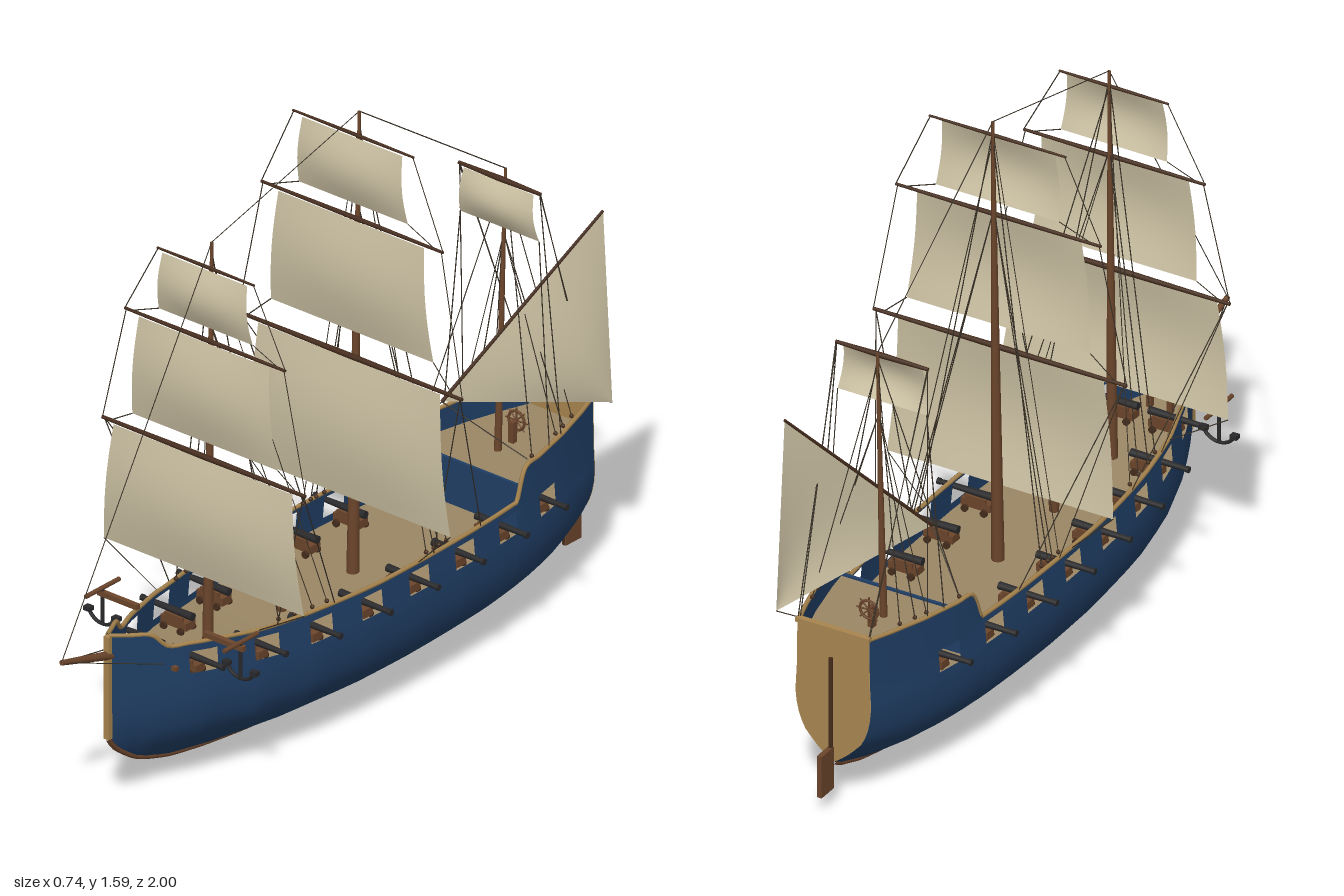
import * as THREE from 'three';

const mat = (name, color, side = THREE.FrontSide) => {
  const m = new THREE.MeshStandardMaterial({ color, side });
  m.name = name;
  return m;
};
const V = (x, y, z) => new THREE.Vector3(x, y, z);
const lerp = THREE.MathUtils.lerp;

// piecewise interpolation through [key, value] pairs with ascending keys
const table = (pts) => (k) => {
  if (k <= pts[0][0]) return pts[0][1];
  for (let i = 1; i < pts.length; i++) {
    const [a, va] = pts[i - 1], [b, vb] = pts[i];
    if (k <= b) return lerp(va, vb, (k - a) / (b - a));
  }
  return pts[pts.length - 1][1];
};

// hull lines along z: half width, keel height, rail height
const halfWidth = table([[-0.93, 0.11], [-0.86, 0.135], [-0.75, 0.168], [-0.6, 0.2], [-0.4, 0.219], [-0.2, 0.226],
  [0, 0.226], [0.15, 0.22], [0.3, 0.203], [0.45, 0.172], [0.6, 0.122], [0.7, 0.076], [0.77, 0.036], [0.82, 0.006]]);
const keelY = table([[-0.93, 0.12], [-0.9, 0.102], [-0.8, 0.066], [-0.7, 0.042], [-0.5, 0.018], [-0.2, 0.008], [0, 0.009],
  [0.3, 0.024], [0.5, 0.048], [0.6, 0.068], [0.7, 0.1], [0.75, 0.127], [0.8, 0.17], [0.82, 0.2]]);
const railY = table([[-0.93, 0.505], [-0.57, 0.482], [-0.53, 0.398], [0, 0.395], [0.4, 0.406], [0.68, 0.432], [0.72, 0.472], [0.82, 0.492]]);
const fullness = table([[0, 0], [0.04, 0.16], [0.12, 0.4], [0.25, 0.72], [0.37, 0.88], [0.5, 0.965], [0.63, 1], [0.8, 0.985], [1, 0.95]]);
const portY = (z) => 0.318 + Math.max(0, z - 0.3) * 0.08;
const deckY = (z) => portY(z) - 0.02;
const sideX = (z, y) => halfWidth(z) * fullness((y - keelY(z)) / (0.4 - keelY(z)));

const PORTS = [0.59, 0.41, 0.235, 0.055, -0.125, -0.305, -0.485, -0.665];
const COLS = [0.82, 0.8, 0.77, 0.72, 0.68, -0.53, -0.57, -0.75, -0.8, -0.86, -0.9, -0.93,
  ...PORTS.flatMap((p) => [p + 0.038, p, p - 0.038])].sort((a, b) => b - a);
const ROWS = [0, 0.04, 0.1, 0.18, 0.27, 0.37, 0.48, 0.6, 0.75, 0.9, 1];

// surface from a rule over a grid, with optional skipped cells
function grid(nu, nv, fn, skip = () => false) {
  const pos = [], idx = [];
  for (let i = 0; i <= nu; i++) for (let j = 0; j <= nv; j++) pos.push(...fn(i, j).toArray());
  for (let i = 0; i < nu; i++) for (let j = 0; j < nv; j++) {
    if (skip(i, j)) continue;
    const a = i * (nv + 1) + j, b = a + nv + 1;
    idx.push(a, b, a + 1, b, b + 1, a + 1);
  }
  const g = new THREE.BufferGeometry();
  g.setAttribute('position', new THREE.Float32BufferAttribute(pos, 3));
  g.setIndex(idx);
  g.computeVertexNormals();
  return g;
}

export function createModel() {
  const root = new THREE.Group();
  const D = THREE.DoubleSide;
  const navy = mat('navy hull paint', 0x203f66, D), tan = mat('tan trim', 0xa8854f, D);
  const planks = mat('deck planks', 0x9a8765, D), canvas = mat('sail canvas', 0xcdc2a4, D);
  const wood = mat('mast wood', 0x6b452b), dark = mat('dark spar wood', 0x452c1c);
  const rope = mat('rope', 0x3b3328), iron = mat('iron', 0x29292b);

  const add = (name, geo, m, parent = root) => {
    const mesh = new THREE.Mesh(geo, m);
    mesh.name = name;
    parent.add(mesh);
    return mesh;
  };
  const box = (name, w, h, d, x, y, z, m, parent) => {
    const b = add(name, new THREE.BoxGeometry(w, h, d), m, parent);
    b.position.set(x, y, z);
    return b;
  };
  // round bar between two points
  const bar = (name, a, b, r0, r1, m, parent, sides = 8) => {
    const c = add(name, new THREE.CylinderGeometry(r1, r0, a.distanceTo(b), sides), m, parent);
    c.position.copy(a).add(b).multiplyScalar(0.5);
    c.quaternion.setFromUnitVectors(V(0, 1, 0), b.clone().sub(a).normalize());
    return c;
  };
  const line = (a, b) => bar('rope', a, b, 0.0015, 0.0015, rope, root, 4);

  // hull sides with open gun ports
  const rowY = (z, j) => j < ROWS.length ? lerp(keelY(z), portY(z), ROWS[j])
    : j === ROWS.length ? Math.min(portY(z) + 0.06, railY(z) - 0.008) : railY(z);
  const isPort = (i, j) => j === ROWS.length - 1 && PORTS.some((p) => Math.abs((COLS[i] + COLS[i + 1]) / 2 - p) < 0.036);
  for (const s of [1, -1]) {
    add('hullSide', grid(COLS.length - 1, ROWS.length + 1, (i, j) => {
      const z = COLS[i], y = rowY(z, j);
      return V(s * sideX(z, y), y, z);
    }, isPort), navy);
    const rail = COLS.map((z) => V(s * (sideX(z, railY(z)) - 0.003), railY(z), z));
    add('capRail', new THREE.TubeGeometry(new THREE.CatmullRomCurve3(rail), 120, 0.006, 6), tan);
  }
  add('transom', grid(1, ROWS.length + 1, (i, j) => {
    const y = rowY(-0.93, j);
    return V((i ? -1 : 1) * sideX(-0.93, y), y, -0.932);
  }), tan);
  box('transomRail', 0.215, 0.012, 0.016, 0, 0.507, -0.93, tan);
  add('keel', new THREE.TubeGeometry(new THREE.CatmullRomCurve3(COLS.map((z) => V(0, keelY(z), z))), 80, 0.007, 6), wood);
  box('stemPost', 0.017, 0.29, 0.014, 0, 0.345, 0.821, tan);

  // decks and the bulkhead between them
  const deck = (name, zs, yAt) => add(name, grid(zs.length - 1, 1, (i, j) =>
    V((j ? 1 : -1) * (sideX(zs[i], yAt(zs[i])) - 0.001), yAt(zs[i]), zs[i])), planks);
  deck('mainDeck', COLS, deckY);
  deck('quarterDeck', COLS.filter((z) => z <= -0.57), () => 0.42);
  const bw = sideX(-0.57, 0.4) - 0.002;
  box('bulkhead', bw * 2, 0.128, 0.008, 0, 0.362, -0.567, navy);

  // rudder
  box('rudder', 0.014, 0.12, 0.06, 0, 0.11, -0.97, wood);
  bar('rudderPost', V(0, 0.05, -0.944), V(0, 0.43, -0.944), 0.006, 0.006, dark);

  // guns
  for (const z of PORTS) for (const s of [1, -1]) {
    const gun = new THREE.Group();
    gun.name = 'gun';
    const w = sideX(z, portY(z) + 0.03), y = deckY(z);
    box('carriage', 0.085, 0.022, 0.036, 0, 0.024, 0, wood, gun);
    for (const dz of [-0.016, 0.016]) box('carriageCheek', 0.06, 0.014, 0.007, 0, 0.04, dz, wood, gun);
    for (const dx of [-0.028, 0.028]) for (const dz of [-0.023, 0.023])
      bar('wheel', V(dx, 0.01, dz - 0.004), V(dx, 0.01, dz + 0.004), 0.01, 0.01, dark, gun, 10);
    bar('barrel', V(-0.05, 0.05, 0), V(0.118, 0.05, 0), 0.011, 0.007, iron, gun, 10);
    bar('muzzle', V(0.112, 0.05, 0), V(0.12, 0.05, 0), 0.009, 0.009, iron, gun, 10);
    gun.position.set(s * (w - 0.055), y, z);
    gun.rotation.y = s > 0 ? 0 : Math.PI;
    root.add(gun);
  }

  // masts: base z, top z, top y, radius, yards [y, yard half, sail top half, sail foot half, foot y], shroud feet z
  const MASTS = [
    { name: 'foreMast', z0: 0.435, z1: 0.42, top: 1.445, r: 0.015, feet: [0.36, 0.31, 0.25, 0.2],
      yards: [[0.85, 0.335, 0.295, 0.33, 0.51], [1.18, 0.265, 0.215, 0.24, 0.89], [1.385, 0.16, 0.14, 0.155, 1.215]] },
    { name: 'mainMast', z0: -0.125, z1: -0.15, top: 1.59, r: 0.017, feet: [-0.17, -0.2, -0.22, -0.25],
      yards: [[0.912, 0.37, 0.3, 0.33, 0.51], [1.302, 0.3, 0.24, 0.268, 0.98], [1.535, 0.2, 0.165, 0.18, 1.34]] },
    { name: 'mizzenMast', z0: -0.68, z1: -0.715, top: 1.205, r: 0.011, feet: [-0.61, -0.73, -0.77, -0.82],
      yards: [[1.185, 0.135, 0.115, 0.13, 1.05]] },
  ];
  for (const m of MASTS) {
    const zAt = (y) => lerp(m.z0, m.z1, (y - 0.3) / (m.top - 0.3));
    bar(m.name, V(0, 0.29, m.z0), V(0, m.top, m.z1), m.r, 0.004, wood, root, 12);
    m.yards.forEach(([y, half, a, b, foot], k) => {
      const z = zAt(y) + 0.022, r = 0.008 - k * 0.0015;
      for (const s of [1, -1]) {
        bar('yard', V(0, y, z), V(s * half, y, z), r, r * 0.6, dark);
        // lifts and braces
        const below = m.yards[k - 1], zr = m.z0 - 0.06;
        const low = below ? V(s * below[1], below[0], zAt(below[0]) + 0.022)
          : V(s * sideX(zr, 0.4), railY(zr), zr);
        line(V(s * half * 0.98, y, z), low);
        if (k === 0) line(V(s * half * 0.98, y, z), V(s * sideX(m.z0 - 0.25, 0.4), railY(m.z0 - 0.25), m.z0 - 0.25));
        line(V(s * b, foot, z), below ? V(s * below[1] * 0.92, below[0], zAt(below[0]) + 0.022)
          : V(s * sideX(m.z0, 0.4), railY(m.z0), m.z0));
      }
      // billowing square sail
      add('squareSail', grid(12, 10, (i, j) => {
        const u = i / 6 - 1, t = j / 10;
        return V(u * lerp(a, b, t), lerp(y - 0.006, foot, t), z + 0.004 + Math.sin(Math.PI * t) * (0.024 - 0.012 * u * u) - t * 0.004);
      }), canvas);
    });
    // shrouds with deadeyes
    m.feet.forEach((z, k) => {
      for (const s of [1, -1]) {
        const end = V(s * (sideX(z, railY(z)) - 0.012), railY(z) + 0.008, z);
        const y = lerp(0.3, m.top, [0.98, 0.8, 0.8, 0.96][k]);
        line(V(0, y, zAt(y)), end);
        add('deadeye', new THREE.SphereGeometry(0.006, 8, 6), dark).position.copy(end);
      }
    });
  }

  // stays along the mast tops
  const tip = V(0, 0.485, 1);
  const stays = [tip, ...MASTS.map((m) => V(0, m.top, m.z1))];
  for (let i = 1; i < stays.length; i++) line(stays[i - 1], stays[i]);

  // lateen yard and sail
  const fore = V(-0.04, 0.61, -0.515), peak = V(0.155, 1.06, -0.91), clew = V(0.165, 0.512, -0.934);
  bar('lateenYard', fore, peak, 0.005, 0.004, dark);
  add('lateenSail', grid(10, 10, (i, j) => {
    const t = j / 10, p = fore.clone().lerp(peak, i / 10).lerp(clew, t);
    p.x += 0.02 * Math.sin(Math.PI * t) * Math.sin(Math.PI * i / 10);
    return p;
  }), canvas);
  line(clew, V(0.1, 0.505, -0.92));
  for (const s of [1, -1]) {
    line(fore, V(s * 0.17, 0.485, -0.6));
    line(V(s * 0.135, 1.185, -0.692), V(s * 0.1, 0.51, -0.925));
    line(tip, V(s * 0.078, 0.385, 0.69));
  }

  // bowsprit and its bitts
  bar('bowsprit', V(0, 0.385, 0.645), tip, 0.016, 0.007, wood, root, 12);
  box('bittBeam', 0.2, 0.012, 0.012, 0, 0.37, 0.67, wood);
  for (const s of [1, -1]) box('bittPost', 0.014, 0.06, 0.014, s * 0.03, 0.355, 0.67, wood);

  // catheads and anchors
  for (const s of [1, -1]) {
    const x = s * 0.228, z = 0.575;
    box('cathead', 0.13, 0.014, 0.014, s * 0.175, 0.437, z, wood);
    bar('anchorStock', V(x, 0.452, z - 0.065), V(x, 0.452, z + 0.065), 0.006, 0.006, wood);
    bar('anchorShank', V(x, 0.455, z), V(x, 0.35, z), 0.005, 0.005, iron);
    const arms = add('anchorArms', new THREE.TorusGeometry(0.05, 0.005, 6, 12, Math.PI * 0.75), iron);
    arms.position.set(x, 0.4, z);
    arms.rotation.z = Math.PI * 1.125;
    for (const f of [1, -1]) box('anchorFluke', 0.02, 0.012, 0.018, x + f * 0.046, 0.38, z, iron);
  }

  // capstan
  bar('capstan', V(0, 0.298, 0.15), V(0, 0.345, 0.15), 0.012, 0.016, wood, root, 12);

  // steering wheel
  const wheel = new THREE.Group();
  wheel.name = 'steeringWheel';
  add('wheelRim', new THREE.TorusGeometry(0.026, 0.004, 6, 20), wood, wheel);
  for (let k = 0; k < 4; k++) {
    const a = k * Math.PI / 4, p = V(Math.cos(a) * 0.036, Math.sin(a) * 0.036, 0);
    bar('wheelSpoke', p, p.clone().negate(), 0.0022, 0.0022, wood, wheel, 6);
  }
  wheel.position.set(0, 0.475, -0.757);
  root.add(wheel);
  box('wheelStand', 0.016, 0.06, 0.016, 0, 0.448, -0.742, wood);

  return root;
}
